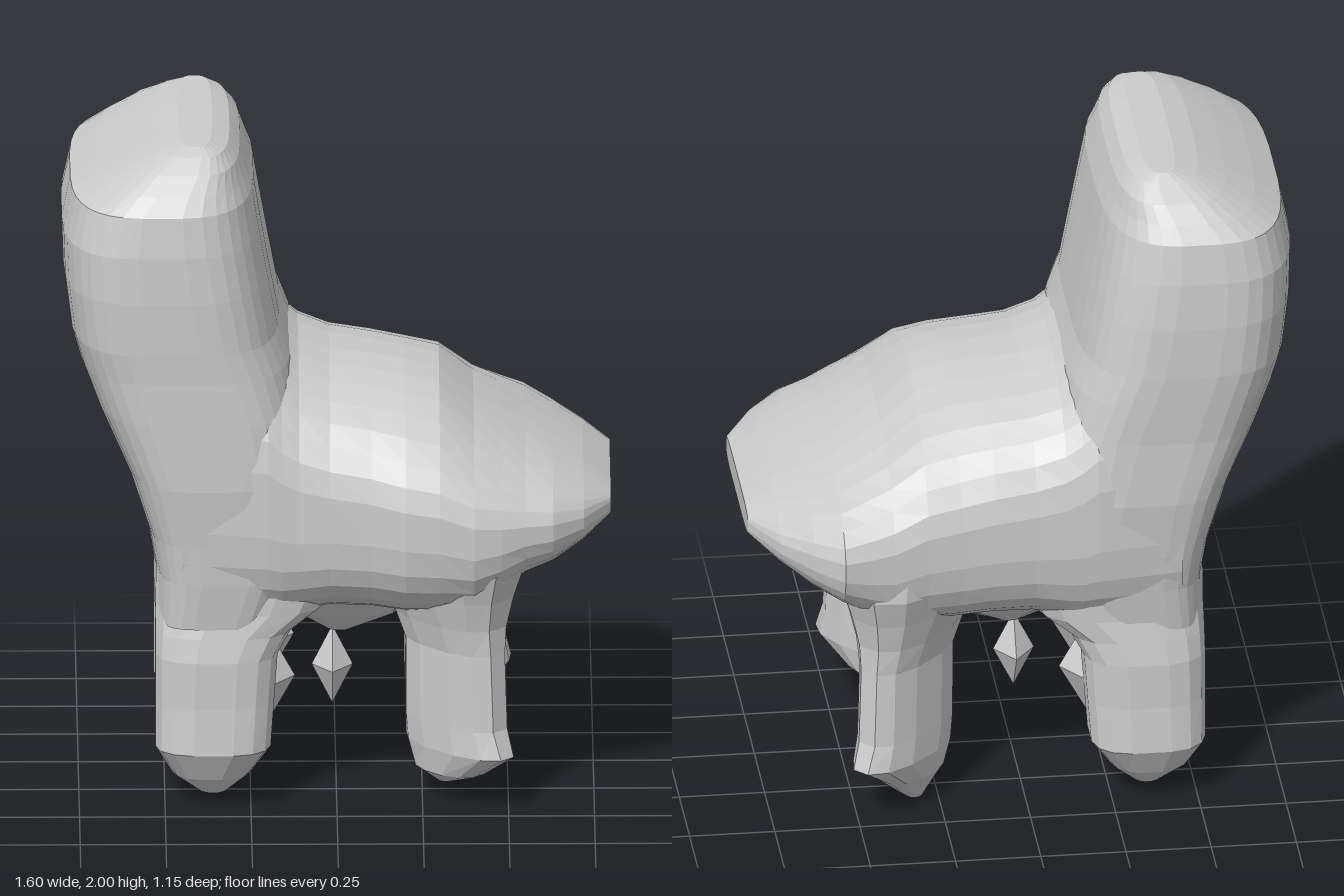
import * as THREE from 'three';

const material = new THREE.MeshStandardMaterial({ color: 0xcccccc, flatShading: true });

// Closed loft through horizontal superellipse rings, listed from bottom to top:
// [y, xMin, xMax, zMin, zMax, exponent, exponent of the +x half if different]
function loft(name, rings, sides = 28) {
  const pos = [], index = [];
  for (const [y, x0, x1, z0, z1, nBack, nFront = nBack] of rings) {
    for (let j = 0; j < sides; j++) {
      const a = ((j + 0.5) / sides) * Math.PI * 2;
      const c = Math.cos(a), s = Math.sin(a);
      const n = c > 0 ? nFront : nBack;
      const u = Math.sign(c) * Math.abs(c) ** (2 / n);
      const v = Math.sign(s) * Math.abs(s) ** (2 / n);
      pos.push((x0 + x1) / 2 + (u * (x1 - x0)) / 2, y, (z0 + z1) / 2 + (v * (z1 - z0)) / 2);
    }
  }
  for (let i = 0; i < rings.length - 1; i++) {
    for (let j = 0; j < sides; j++) {
      const a = i * sides + j, b = i * sides + ((j + 1) % sides);
      index.push(a, a + sides, b, b, a + sides, b + sides);
    }
  }
  // End caps as fans
  const last = rings.length - 1;
  for (const i of [0, last]) {
    const [y, x0, x1, z0, z1] = rings[i];
    const centre = pos.length / 3;
    pos.push((x0 + x1) / 2, y, (z0 + z1) / 2);
    for (let j = 0; j < sides; j++) {
      const a = i * sides + j, b = i * sides + ((j + 1) % sides);
      if (i === 0) index.push(centre, a, b);
      else index.push(centre, b, a);
    }
  }
  const geometry = new THREE.BufferGeometry();
  geometry.setAttribute('position', new THREE.Float32BufferAttribute(pos, 3));
  geometry.setIndex(index);
  geometry.computeVertexNormals();
  const mesh = new THREE.Mesh(geometry, material);
  mesh.name = name;
  return mesh;
}

export function createModel() {
  const chair = new THREE.Group();
  chair.name = 'chair';

  // Domed seat, lofted from inside the backrest to the front edge:
  // [x, yBottom, yTop, zMin, zMax, top exponent, bottom exponent]
  const seat = loft('seat', [
    [-0.45, 0.54, 1.45, -0.49, 0.49, 2.8, 3.6],
    [-0.20, 0.54, 1.42, -0.51, 0.51, 2.6, 3.6],
    [-0.16, 0.54, 1.37, -0.51, 0.51, 2.6, 3.5],
    [-0.11, 0.55, 1.33, -0.51, 0.51, 2.5, 3.4],
    [-0.02, 0.57, 1.30, -0.51, 0.52, 2.3, 3.3],
    [0.10, 0.57, 1.285, -0.515, 0.54, 2.2, 3.2],
    [0.20, 0.56, 1.27, -0.52, 0.57, 2.1, 3.1],
    [0.30, 0.56, 1.245, -0.53, 0.575, 2.1, 3],
    [0.40, 0.58, 1.16, -0.545, 0.575, 2.2, 3],
    [0.48, 0.62, 1.115, -0.56, 0.555, 2.2, 2.8],
    [0.55, 0.67, 1.075, -0.575, 0.53, 2.2, 2.6],
    [0.63, 0.71, 1.03, -0.50, 0.50, 2.4, 2.6],
    [0.72, 0.765, 0.98, -0.40, 0.42, 2.4],
    [0.80, 0.84, 0.92, -0.26, 0.28, 4],
  ].map(([x, y0, y1, z0, z1, ...n]) => [x, -y1, -y0, z0, z1, ...n]), 32);
  seat.rotation.z = -Math.PI / 2;
  chair.add(seat);

  // Thick backrest leaning backwards
  chair.add(loft('backrest', [
    [0.56, -0.53, -0.18, -0.45, 0.46, 4.5],
    [0.70, -0.53, -0.12, -0.47, 0.48, 4.5],
    [0.82, -0.55, -0.10, -0.49, 0.49, 4.5],
    [1.00, -0.61, -0.09, -0.51, 0.51, 4],
    [1.20, -0.70, -0.10, -0.51, 0.51, 3.8],
    [1.33, -0.75, -0.13, -0.52, 0.51, 3.6],
    [1.42, -0.775, -0.165, -0.525, 0.515, 3.6],
    [1.58, -0.795, -0.195, -0.525, 0.52, 3.5],
    [1.72, -0.80, -0.22, -0.515, 0.515, 3.4],
    [1.84, -0.775, -0.24, -0.495, 0.50, 3.2],
    [1.89, -0.70, -0.26, -0.46, 0.46, 3.2],
    [1.94, -0.61, -0.28, -0.42, 0.41, 3.5],
    [1.98, -0.53, -0.31, -0.36, 0.36, 3.5],
    [2.00, -0.46, -0.36, -0.33, 0.32, 3.5],
  ], 36));

  for (const s of [1, -1]) {
    const side = s > 0 ? 'Left' : 'Right';

    // Front legs: flat posts set diagonally, widening inwards under the seat
    const tip = s > 0 ? 0.05 : 0;
    const front = loft('frontLeg' + side, [
      [tip, -0.06, -0.01, -0.025, 0.025, 2],
      [0.09, -0.14, 0.10, -0.075, 0.075, 2.2],
      [0.17, -0.18, 0.22, -0.09, 0.09, 2.2],
      [0.25, -0.18, 0.19, -0.09, 0.09, 2.4],
      [0.48, -0.18, 0.18, -0.09, 0.09, 2.4],
      [0.56, -0.21, 0.18, -0.11, 0.11, 2.4],
      [0.65, -0.28, 0.20, -0.14, 0.14, 2.4],
      [0.74, -0.34, 0.23, -0.17, 0.17, 2.4],
      [0.86, -0.34, 0.22, -0.17, 0.17, 2.4],
    ], 12);
    front.position.set(0.345, 0, 0.335 * s);
    front.rotation.y = (-s * Math.PI) / 4;
    chair.add(front);

    // Back legs: stout blocks under the backrest
    const back = loft('backLeg' + side, [
      [0.03, -0.05, 0.03, -0.04, 0.04, 2],
      [0.09, -0.13, 0.10, -0.11, 0.10, 2.4],
      [0.18, -0.18, 0.16, -0.15, 0.15, 3],
      [0.32, -0.18, 0.17, -0.15, 0.14, 3],
      [0.46, -0.18, 0.18, -0.16, 0.14, 3],
      [0.53, -0.18, 0.22, -0.20, 0.13, 3],
      [0.60, -0.18, 0.32, -0.26, 0.12, 3],
      [0.72, -0.18, 0.38, -0.28, 0.12, 3],
    ].map(([y, x0, x1, z0, z1, n]) => (s > 0 ? [y, x0, x1, z0, z1, n] : [y, x0, x1, -z1, -z0, n])), 16);
    back.position.set(-0.35, 0, 0.335 * s);
    chair.add(back);

    // Ragged inner spur on each back leg
    const spur = new THREE.Mesh(new THREE.OctahedronGeometry(1), material);
    spur.name = 'legSpur' + side;
    spur.scale.set(0.1, 0.18, 0.14);
    spur.position.set(-0.22, 0.33, 0.19 * s);
    chair.add(spur);
  }

  // Sagging lump under the middle of the seat
  chair.add(loft('undersideLump', [
    [0.43, -0.03, 0.05, -0.08, 0.08, 3],
    [0.50, -0.14, 0.20, -0.17, 0.17, 3],
    [0.60, -0.22, 0.24, -0.26, 0.26, 3],
  ], 12));

  // Small loose fragment hanging below the seat
  const fragment = new THREE.Mesh(new THREE.OctahedronGeometry(1), material);
  fragment.name = 'looseFragment';
  fragment.scale.set(0.06, 0.12, 0.08);
  fragment.position.set(-0.01, 0.3, 0);
  chair.add(fragment);

  return chair;
}
